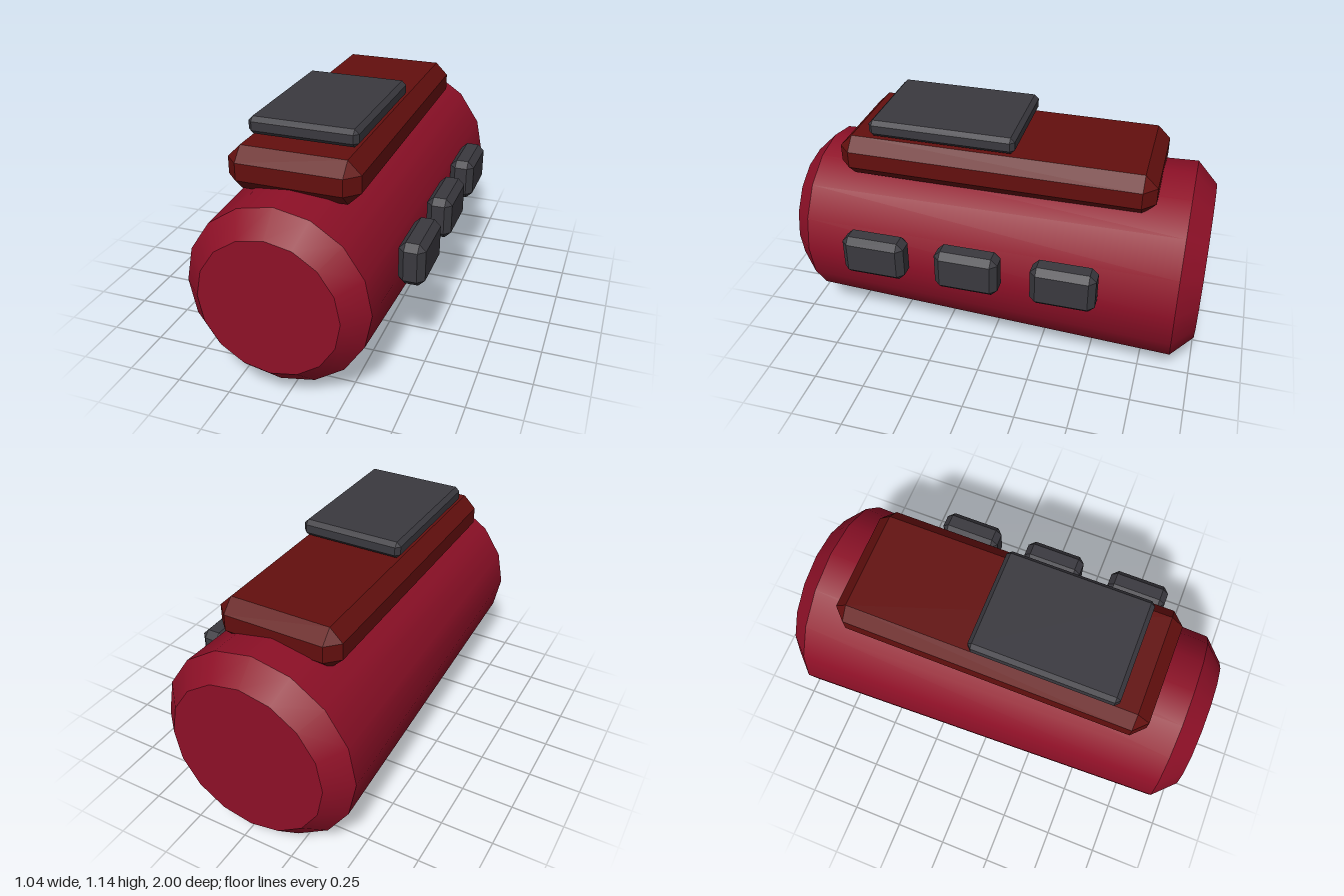
import * as THREE from 'three';
import { ConvexGeometry } from 'three/addons/geometries/ConvexGeometry.js';

const material = (name, color) => {
  const m = new THREE.MeshStandardMaterial({ color });
  m.name = name;
  return m;
};

// Box with every edge and corner cut by a flat chamfer c
function chamferBox(w, h, d, c) {
  const points = [];
  const [x, y, z] = [w / 2, h / 2, d / 2];
  for (const sx of [-1, 1]) for (const sy of [-1, 1]) for (const sz of [-1, 1]) {
    points.push(
      new THREE.Vector3(sx * x, sy * (y - c), sz * (z - c)),
      new THREE.Vector3(sx * (x - c), sy * y, sz * (z - c)),
      new THREE.Vector3(sx * (x - c), sy * (y - c), sz * z));
  }
  return new ConvexGeometry(points);
}

export function createModel() {
  const crimson = material('crimson', 0x8e1027);
  const darkRed = material('dark red', 0x630f0e);
  const charcoal = material('charcoal', 0x3a393f);
  const model = new THREE.Group();
  const cx = -0.043;

  const add = (name, geometry, mat, x, y, z, parent = model) => {
    const mesh = new THREE.Mesh(geometry, mat);
    mesh.name = name;
    mesh.position.set(x, y, z);
    parent.add(mesh);
    return mesh;
  };

  // Tapered barrel with chamfered ends, smooth around and creased at the rims
  const barrel = new THREE.Group();
  barrel.name = 'barrel';
  barrel.position.set(cx, 0.478, 0);
  model.add(barrel);
  const section = (name, rFront, rBack, zFront, zBack) => {
    const g = new THREE.CylinderGeometry(rFront, rBack, zFront - zBack, 16, 1, true);
    g.rotateX(Math.PI / 2);
    add(name, g, crimson, 0, 0, (zFront + zBack) / 2, barrel);
  };
  section('frontChamfer', 0.32, 0.42, 1, 0.9);
  section('barrelWall', 0.42, 0.478, 0.9, -0.9);
  section('backChamfer', 0.478, 0.378, -0.9, -1);

  // End caps, with corners lined up to the barrel
  add('frontCap', new THREE.CircleGeometry(0.32, 16), crimson, 0, 0, 1, barrel);
  add('backCap', new THREE.CircleGeometry(0.378, 16), crimson, 0, 0, -1, barrel).rotation.y = Math.PI;

  // Top rail, neck and pad
  add('topRail', chamferBox(0.6, 0.2, 1.5, 0.06), darkRed, cx, 0.95, 0);
  add('padNeck', new THREE.BoxGeometry(0.4, 0.06, 0.5), crimson, cx, 1.05, 0.25);
  add('topPad', chamferBox(0.5, 0.08, 0.7, 0.02), charcoal, cx, 1.1, 0.25);

  // Row of side buttons
  const button = chamferBox(0.12, 0.2, 0.3, 0.03);
  for (const z of [0.5, 0.05, -0.4]) add('sideButton', button, charcoal, 0.457, 0.58, z);

  return model;
}
